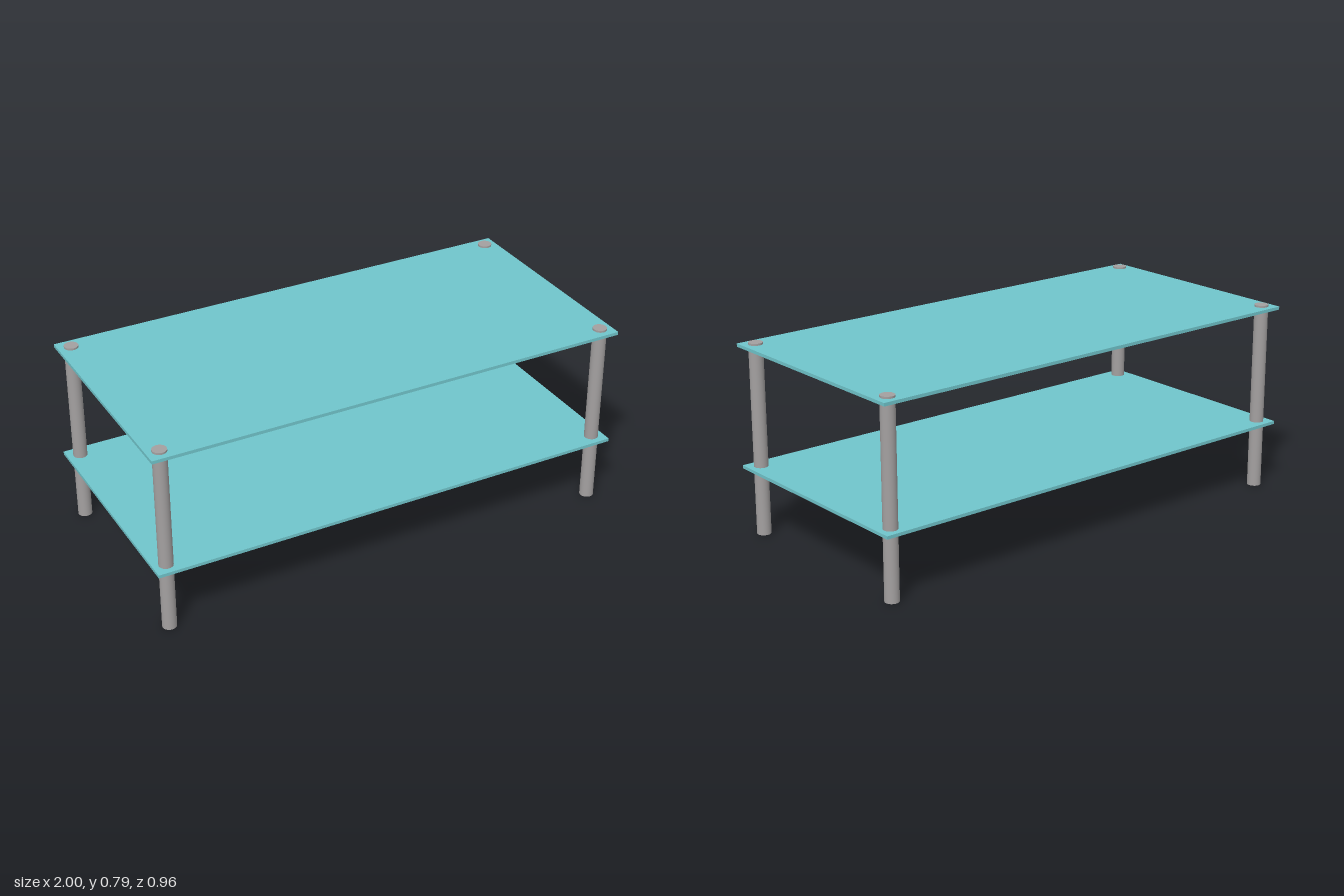
import * as THREE from 'three';

export function createModel() {
  const table = new THREE.Group();
  table.name = 'twoTierTable';

  const glass = new THREE.MeshStandardMaterial({ color: 0x70c5cb });
  const metal = new THREE.MeshStandardMaterial({ color: 0xa3a0a0 });

  // Two thin rectangular panels
  const panel = new THREE.BoxGeometry(2, 0.013, 0.96);
  for (const [name, y] of [['lowerShelf', 0.2755], ['tableTop', 0.7715]]) {
    const mesh = new THREE.Mesh(panel, glass);
    mesh.name = name;
    mesh.position.y = y;
    table.add(mesh);
  }

  // Four round legs that pass through both panels and stand slightly proud of the top
  const height = 0.786;
  const leg = new THREE.CylinderGeometry(0.0285, 0.0285, height, 32);
  for (const [side, x] of [['Left', 0.948], ['Right', -0.948]]) {
    for (const [end, z] of [['front', 0.428], ['back', -0.428]]) {
      const mesh = new THREE.Mesh(leg, metal);
      mesh.name = `${end}${side}Leg`;
      mesh.position.set(x, height / 2, z);
      table.add(mesh);
    }
  }

  return table;
}
